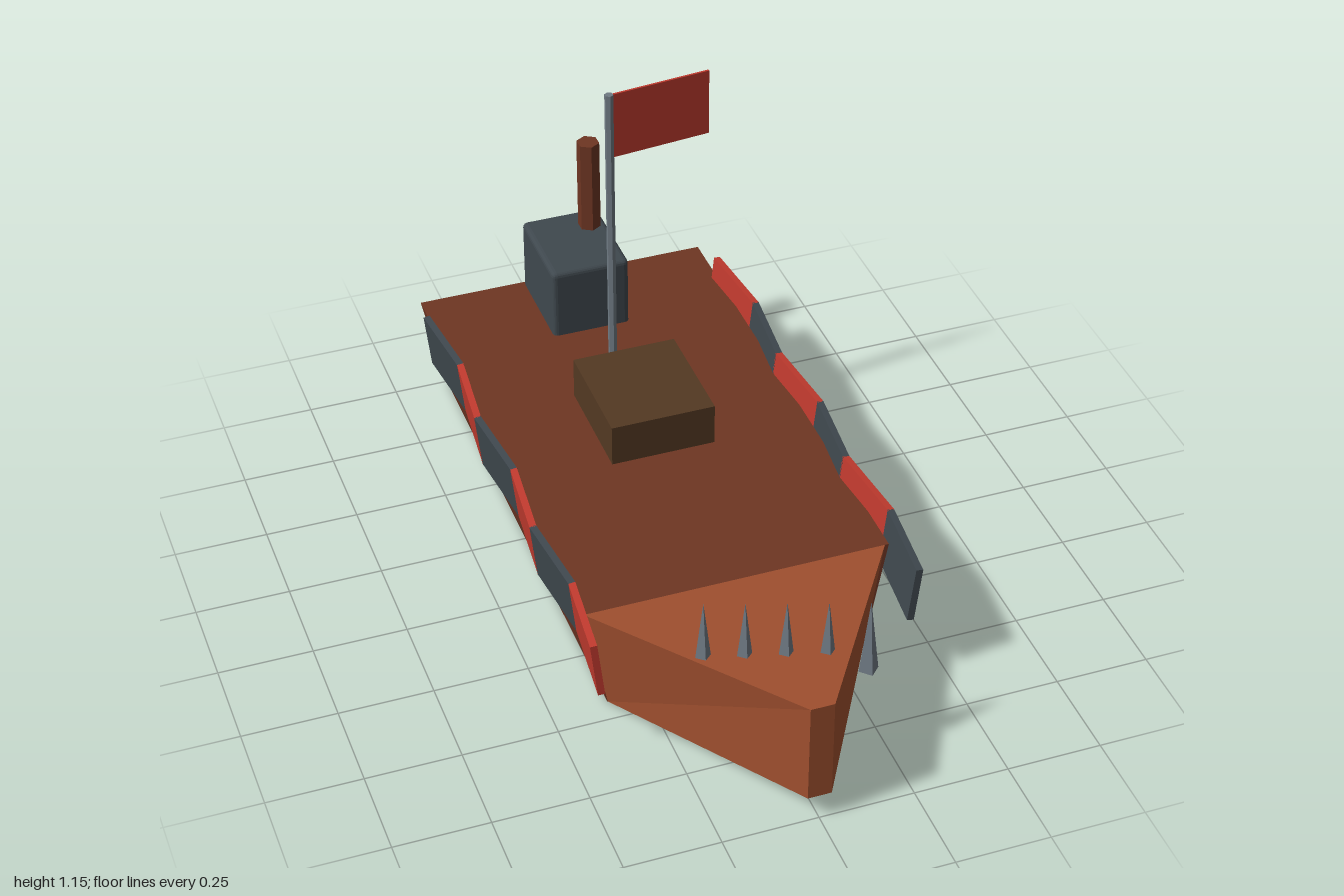
import * as THREE from 'three';
import { RoundedBoxGeometry } from 'three/addons/geometries/RoundedBoxGeometry.js';

const paint = (name, color) => {
  const m = new THREE.MeshStandardMaterial({ color, flatShading: true });
  m.name = name;
  return m;
};

// Box whose two ends are tapered sections: half widths, heights and z at top and bottom
function taperedBlock(back, front) {
  const geo = new THREE.BoxGeometry(1, 1, 1).toNonIndexed();
  const p = geo.attributes.position;
  for (let i = 0; i < p.count; i++) {
    const end = p.getZ(i) > 0 ? front : back;
    const [halfWidth, y, z] = p.getY(i) > 0 ? end.top : end.bottom;
    p.setXYZ(i, Math.sign(p.getX(i)) * halfWidth, y, z);
  }
  geo.computeVertexNormals();
  return geo;
}

export function createModel() {
  const hullBrown = paint('hullBrown', 0x6e3623);
  const bowBrown = paint('bowBrown', 0xa0502f);
  const crateBrown = paint('crateBrown', 0x533923);
  const darkIron = paint('darkIron', 0x3f484e);
  const steel = paint('steel', 0x6f7a83);
  const red = paint('red', 0xc03a2e);

  const model = new THREE.Group();
  const add = (name, geo, mat, x = 0, y = 0, z = 0) => {
    const mesh = new THREE.Mesh(geo, mat);
    mesh.name = name;
    mesh.position.set(x, y, z);
    model.add(mesh);
    return mesh;
  };

  // Hull and raised bow
  add('hull', taperedBlock(
    { top: [0.413, 0.29, -1], bottom: [0.35, 0, -1] },
    { top: [0.413, 0.29, 0.42], bottom: [0.35, 0, 0.437] }), hullBrown);
  add('bow', taperedBlock(
    { top: [0.402, 0.29, 0.42], bottom: [0.349, 0.001, 0.437] },
    { top: [0.031, 0.36, 1], bottom: [0.031, 0.073, 1] }), bowBrown);

  // Deck fittings
  add('cabin', new RoundedBoxGeometry(0.22, 0.225, 0.28, 2, 0.014), darkIron, 0, 0.383, -0.86);
  add('chimney', new THREE.CylinderGeometry(0.032, 0.032, 0.29, 6), hullBrown, 0.063, 0.622, -0.922);
  add('crate', new THREE.BoxGeometry(0.285, 0.13, 0.32), crateBrown, 0, 0.343, -0.285);

  // Flag on its pole
  add('flagPole', new THREE.CylinderGeometry(0.012, 0.012, 0.87, 6), steel, 0, 0.716, -0.54);
  const flag = add('flag', new THREE.BoxGeometry(0.282, 0.19, 0.006), red, 0.144, 1.055, -0.555);
  flag.rotation.y = 0.105;

  // Row of spikes slanting across the bow
  for (let i = -2; i <= 2; i++) {
    add('bowSpike', new THREE.ConeGeometry(0.026, 0.215, 4), steel, i * 0.095, 0.3825, 0.762 + i * 0.032);
  }

  // Zigzag shields along both sides, leaning outwards
  for (const side of [-1, 1]) {
    for (let i = 0; i < 6; i++) {
      const mat = (i % 2 === 0) === (side > 0) ? red : darkIron;
      const shield = add('sideShield', new THREE.BoxGeometry(0.018, 0.16, 0.247), mat,
        side * 0.417, 0.275, -0.72 + i * 0.2415);
      const yaw = (i % 2 === 0 ? 1 : -1) * 0.1;
      shield.rotation.set(0, yaw, -side * 0.11, 'YXZ');
    }
  }
  return model;
}
